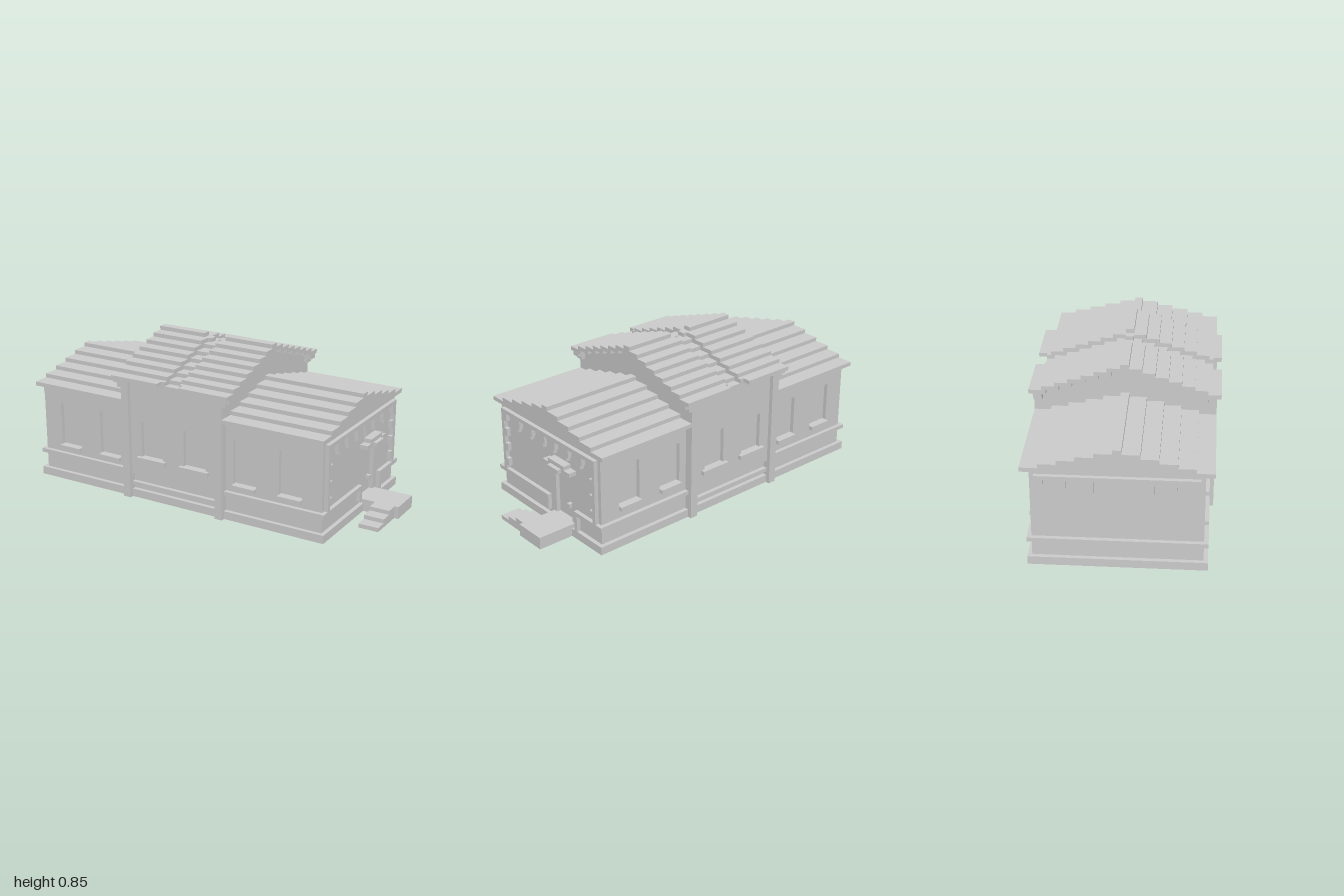
import * as THREE from 'three';

// Everything is laid out on a block grid: 89 blocks along x make 2 units.
const U = 2 / 89;
const MID = 40; // mirror plane of the building along x

export function createModel() {
  const root = new THREE.Group();
  root.name = 'house';
  const grid = new THREE.Group();
  grid.name = 'blocks';
  grid.scale.setScalar(U);
  grid.position.x = -44.5 * U;
  root.add(grid);
  const mat = new THREE.MeshStandardMaterial({ color: 0xcccccc, flatShading: true });

  const add = (name, geo) => {
    const m = new THREE.Mesh(geo, mat);
    m.name = name;
    grid.add(m);
    return m;
  };
  const box = (name, x0, x1, y0, y1, z0, z1) => {
    const g = new THREE.BoxGeometry(x1 - x0, y1 - y0, Math.abs(z1 - z0));
    g.translate((x0 + x1) / 2, (y0 + y1) / 2, (z0 + z1) / 2);
    return add(name, g);
  };
  // box repeated on the front and back
  const boxZ = (name, x0, x1, y0, y1, z0, z1) => {
    for (const s of [1, -1]) box(name, x0, x1, y0, y1, s * z0, s * z1);
  };
  // box repeated on both halves along x
  const boxX = (name, x0, x1, y0, y1, z0, z1) => {
    box(name, x0, x1, y0, y1, z0, z1);
    box(name, 2 * MID - x1, 2 * MID - x0, y0, y1, z0, z1);
  };
  const boxXZ = (name, x0, x1, y0, y1, z0, z1) => {
    for (const s of [1, -1]) boxX(name, x0, x1, y0, y1, s * z0, s * z1);
  };
  // one block thick wall panel with rectangular openings [x0, x1, y0, y1]
  const panel = (name, a0, a1, y0, y1, openings) => {
    const rect = (p, l, r, b, t) => {
      p.moveTo(l, b); p.lineTo(r, b); p.lineTo(r, t); p.lineTo(l, t); p.closePath();
      return p;
    };
    const shape = rect(new THREE.Shape(), a0, a1, y0, y1);
    for (const o of openings) shape.holes.push(rect(new THREE.Path(), ...o));
    return add(name, new THREE.ExtrudeGeometry(shape, { depth: 1, bevelEnabled: false }));
  };

  // Wall cores
  box('wingCore', 2, 78, 0, 24, -18, 18);
  box('middleCore', 26, 54, 0, 30, -19, 19);

  // Front and back walls with recessed windows and sills
  for (const s of [1, -1]) {
    const sill = s > 0 ? 9 : 10;
    for (const [a, b, wins] of [[1, 26, [6, 18]], [54, 79, [56, 68]]]) {
      const wall = panel('wingWall', a, b, 0, 24, wins.map((w) => [w, w + 6, sill, 20]));
      wall.position.z = s > 0 ? 18 : -19;
      for (const w of wins) box('wingSill', w, w + 6, sill - 1, sill, s * 18, s * 20);
    }
    const wall = panel('middleWall', 28, 52, 6, 30, [[31, 37, 11, 20], [43, 49, 11, 20]]);
    wall.position.z = s > 0 ? 19 : -20;
    for (const w of [30, 42]) box('middleSill', w, w + 8, 10, 11, s * 19, s * 21);
  }

  // Middle plinth courses, pilasters and eave brackets
  boxZ('middlePlinth', 28, 52, 0, 2, 19, 20);
  boxZ('middlePlinth', 28, 52, 3, 4, 19, 20);
  boxXZ('pilaster', 26, 28, 0, 30, 19, 21);
  boxXZ('eaveBracket', 24, 26, 29, 30, 19, 21);
  boxXZ('eaveBracket', 25, 26, 28, 29, 19, 21);

  // Wing plinth and band
  boxXZ('plinth', 0, 26, 0, 2, 18, 20);
  boxXZ('band', 0, 26, 6, 7, 18, 20);
  boxX('endPlinth', 0, 2, 0, 2, -18, 18);
  box('endBand', 0, 1, 6, 7, -18, 18);
  box('endBand', 79, 80, 6, 7, 0, 18);
  box('endBand', 79, 80, 6, 7, -18, -10);
  box('endBandDrop', 79, 80, 3, 6, 0, 1);
  box('endBandDrop', 79, 80, 2, 6, -11, -10);

  // End walls
  box('blindEndWall', 1, 2, 0, 24, -18, 18);
  const endWall = panel('doorEndWall', -18, 18, 0, 24, [[2, 8, 3, 15]]);
  endWall.rotation.y = Math.PI / 2;
  endWall.position.x = 78;

  // Door handle and stepped canopy
  box('doorHandle', 78, 79, 6, 7, -7, -6);
  box('canopy', 79, 81, 16, 17, -10, 0);
  box('canopyFront', 81, 82, 16, 17, -7, -3);
  box('canopyTop', 79, 81, 17, 18, -8, -2);

  // Porch and steps
  box('porch', 79, 89, 0, 3, -9, -1);
  [3, 2, 1].forEach((h, i) => box('porchStep', 83, 88, 0, h, -1 + (i ? 3 * i : 0), 2 + 3 * i));

  // Ornament around the door end: toothed side trims and a valance
  box('valance', 79, 80, 22, 23, -18, 18);
  boxZ('sideTrim', 79, 80, 7, 22, 17, 18);
  for (const y of [8, 12, 16, 20]) boxZ('sideTrimTooth', 79, 80, y, y + 2, 16, 17);
  for (const z of [2, 7, 12]) {
    boxZ('valanceTooth', 79, 80, 20, 22, z - 1.5, z + 1.5);
    boxZ('valanceTip', 79, 80, 19, 20, z - 1, z + 1);
  }

  // Valance on the blind end, deepest in the middle
  box('valance', 0, 1, 22, 23, -18, 18);
  box('valanceTooth', 0, 1, 17, 22, -1.5, 1.5);
  boxZ('valanceTooth', 0, 1, 19, 22, 5, 8);
  boxZ('valanceTooth', 0, 1, 20, 22, 11, 13);
  boxZ('valanceTooth', 0, 1, 21, 22, 16, 18);

  // Wing roofs: stacked layers
  for (let k = 0; k < 6; k++) {
    const h = 21 - 4 * k;
    boxX('wingRoof', 0, 26, 24 + k, 25 + k, -h, h);
  }

  // Middle roof: stepped shell in two halves over a stepped gable fill
  for (let k = 0; k < 6; k++) {
    const inner = 18 - 3 * k, outer = 22 - 3 * k, y = 30 + k;
    box('gableFill', 26, 54, y, y + 1, -inner, inner);
    if (k === 0) {
      boxXZ('middleRoof', 24, 38, y, y + 1, inner, 20);
      boxXZ('middleRoofEave', 24, 37, y, y + 1, 20, outer);
    } else {
      boxXZ('middleRoof', 24, 38, y, y + 1, inner, outer);
    }
  }
  boxX('middleRoof', 24, 38, 36, 37, -4, 4);
  boxX('ridgeNib', 38, 39, 36, 37, -1, 1);
  boxX('ridge', 24, 37, 37, 38, -1, 1);

  return root;
}
